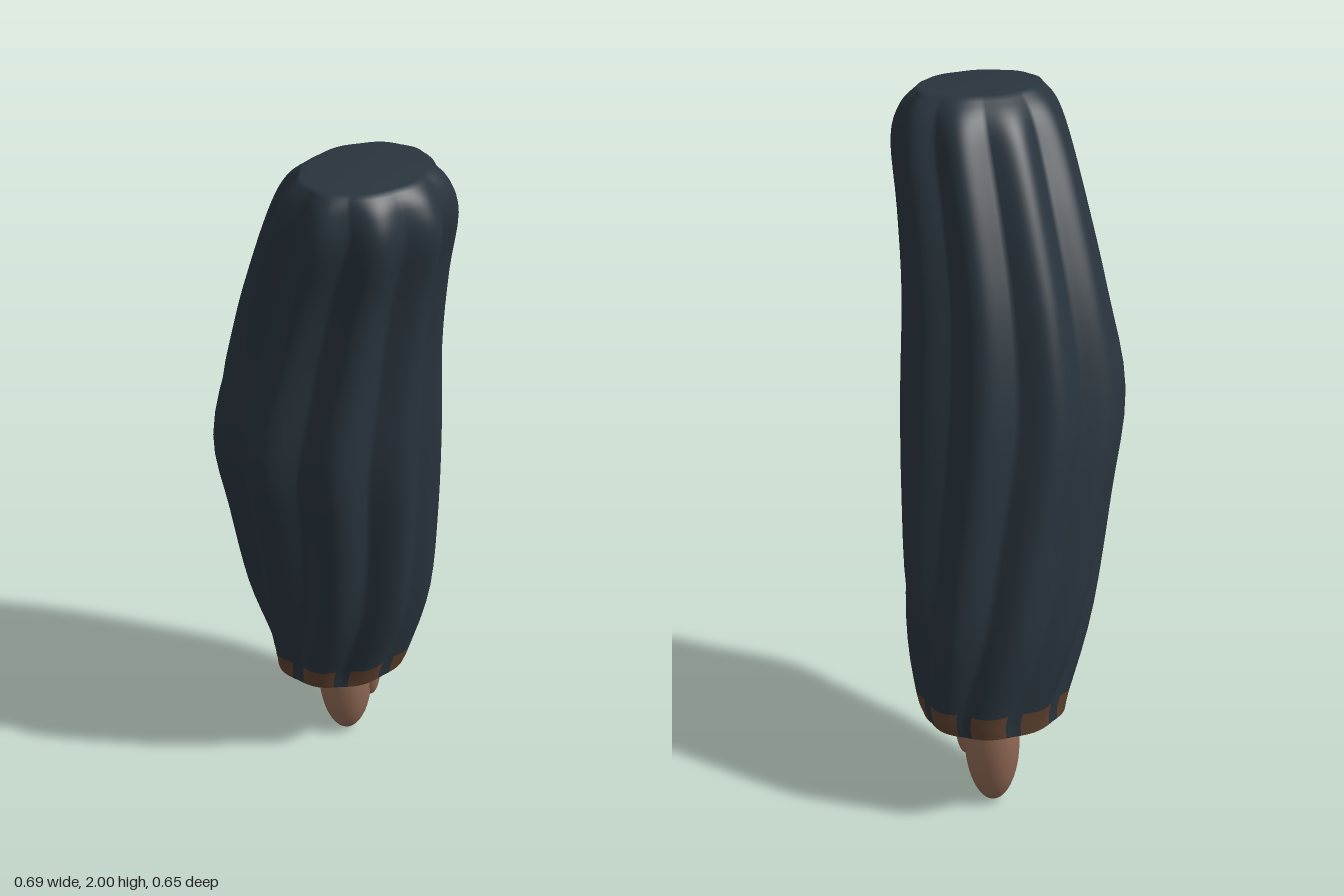
import * as THREE from 'three';

const RIDGES = 9, PER = 20, SEG = RIDGES * PER, SUB = 4;

// sleeve stations: y, centre x, centre z, radius x, radius z, ridge depth, twist in degrees
const STATIONS = [
  [0.295, -0.122, -0.089, 0.181, 0.206, 0.03, -4],
  [0.365, -0.115, -0.089, 0.2, 0.224, 0.08, -3],
  [0.60, -0.094, -0.062, 0.264, 0.266, 0.12, 9],
  [0.90, -0.062, -0.016, 0.298, 0.291, 0.14, 15],
  [1.18, -0.034, 0.027, 0.313, 0.31, 0.14, 19],
  [1.45, 0.0, 0.025, 0.29, 0.278, 0.14, 21],
  [1.68, 0.054, 0.021, 0.259, 0.258, 0.14, 23],
  [1.86, 0.114, 0.021, 0.233, 0.244, 0.13, 25],
  [1.95, 0.132, 0.025, 0.191, 0.216, 0.09, 25],
  [2.00, 0.142, 0.033, 0.136, 0.171, 0.03, 25],
];

// point on a pleated ring: rounded ridges and narrow valleys
function ringPoint([y, cx, cz, rx, rz, depth, twist], j) {
  const a = (j / SEG) * Math.PI * 2 + THREE.MathUtils.degToRad(twist);
  const c = Math.abs(Math.cos((j / PER) * Math.PI));
  const k = 1 - depth * (0.5 * (1 - c) + 0.5 * (1 - c * c));
  return [cx + rx * k * Math.sin(a), y, cz + rz * k * Math.cos(a)];
}

// closed loft through rings; isPatch(row, column) picks the second material
function loft(rows, isPatch = () => false) {
  const pos = [], plain = [], patch = [];
  rows.forEach((row) => { for (let j = 0; j < SEG; j++) pos.push(...ringPoint(row, j)); });
  for (let i = 0; i < rows.length - 1; i++) {
    for (let j = 0; j < SEG; j++) {
      const n = (j + 1) % SEG;
      const a = i * SEG + j, b = i * SEG + n, c = b + SEG, d = a + SEG;
      (isPatch(i, j) ? patch : plain).push(a, b, c, a, c, d);
    }
  }
  const g = new THREE.BufferGeometry();
  g.setAttribute('position', new THREE.Float32BufferAttribute(pos, 3));
  g.setIndex([...plain, ...patch]);
  g.addGroup(0, plain.length, 0);
  if (patch.length) g.addGroup(plain.length, patch.length, 1);
  g.computeVertexNormals();
  return g;
}

// the same ring shrunk about its centre
const shrink = ([y, cx, cz, rx, rz, depth, twist], k) => [y, cx, cz, rx * k, rz * k, depth, twist];

export function createModel() {
  const model = new THREE.Group();
  const cloth = new THREE.MeshStandardMaterial({ color: 0x29343d });
  cloth.name = 'dark slate cloth';
  const trim = new THREE.MeshStandardMaterial({ color: 0x5d402e });
  trim.name = 'brown trim';
  const skin = new THREE.MeshStandardMaterial({ color: 0x8f6854 });
  skin.name = 'skin';

  const add = (name, geometry, material) => {
    const mesh = new THREE.Mesh(geometry, material);
    mesh.name = name;
    model.add(mesh);
    return mesh;
  };

  // smooth rows between the stations
  const spline = (a, b, c) => new THREE.CatmullRomCurve3(
    STATIONS.map((s) => new THREE.Vector3(s[a], s[b], s[c])), false, 'catmullrom', 0.5);
  const centres = spline(1, 0, 2), radii = spline(3, 5, 4), twists = spline(6, 0, 0);
  const rows = [];
  const steps = (STATIONS.length - 1) * SUB;
  for (let i = 0; i <= steps; i++) {
    const t = i / steps;
    const c = centres.getPoint(t), r = radii.getPoint(t);
    rows.push([Math.min(c.y, 2), c.x, c.z, r.x, r.z, r.y, twists.getPoint(t).x]);
  }

  // shoulder end, blended softly into the sleeve
  rows.push(shrink(rows[steps], 0.001));

  // pleated sleeve with a trim patch at the foot of every ridge
  const onRidge = (j) => { const m = j % PER; return m < 7 || m >= PER - 7; };
  add('sleeve', loft(rows, (i, j) => i < SUB && onRidge(j)), [cloth, trim]);

  // flat underside of the cuff
  add('cuffUnderside', loft([shrink(STATIONS[0], 0.001), STATIONS[0]]), [cloth]);

  // hand and thumb
  const ball = new THREE.SphereGeometry(1, 32, 24);
  const hand = add('hand', ball, skin);
  hand.scale.set(0.088, 0.195, 0.074);
  hand.position.set(-0.12, 0.195, -0.099);
  const thumb = add('thumb', ball, skin);
  thumb.scale.set(0.032, 0.1, 0.029);
  thumb.position.set(-0.062, 0.235, -0.15);

  return model;
}
